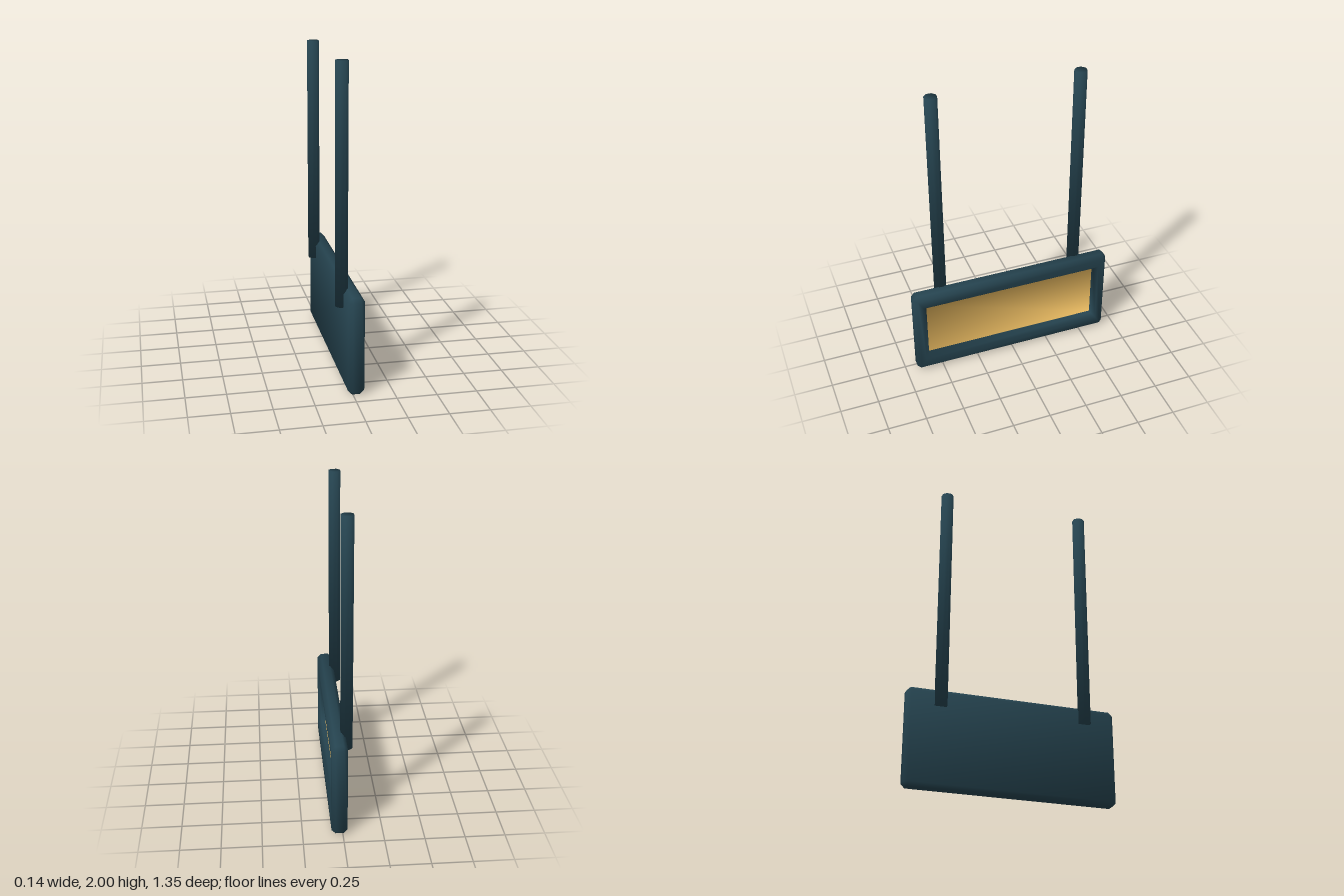
import * as THREE from 'three';

const frameBlue = new THREE.MeshStandardMaterial({ color: 0x25434f, name: 'dark teal' });
const panelGold = new THREE.MeshStandardMaterial({ color: 0xe0b35d, name: 'gold' });

// Rectangle with cut corners, counter-clockwise, at height w along the loft axis
function ring(hu, hv, cut, w) {
  return [
    [hu, -hv + cut], [hu, hv - cut], [hu - cut, hv], [-hu + cut, hv],
    [-hu, hv - cut], [-hu, -hv + cut], [-hu + cut, -hv], [hu - cut, -hv],
  ].map(([u, v]) => [u, v, w]);
}

// Angle-weighted normals shared by all corners at the same position
function smoothNormals(points) {
  const key = (p) => p.toArray().map((n) => Math.round(n * 1e4)).join();
  const sums = new Map();
  for (let i = 0; i < points.length; i += 3) {
    const tri = points.slice(i, i + 3);
    const normal = new THREE.Triangle(...tri).getNormal(new THREE.Vector3());
    tri.forEach((p, k) => {
      const a = tri[(k + 1) % 3].clone().sub(p);
      const b = tri[(k + 2) % 3].clone().sub(p);
      if (!sums.has(key(p))) sums.set(key(p), new THREE.Vector3());
      sums.get(key(p)).addScaledVector(normal, a.angleTo(b));
    });
  }
  return points.flatMap((p) => sums.get(key(p)).clone().normalize().toArray());
}

// Closed loft through rings; the end cap is a second material group
function loft(rings, place) {
  const points = [];
  const add = (...corners) => {
    const tri = corners.map((c) => place(...c));
    if (new THREE.Triangle(...tri).getArea() > 1e-8) points.push(...tri);
  };
  const first = rings[0];
  const last = rings[rings.length - 1];
  for (let i = 1; i < 7; i++) add(first[0], first[i + 1], first[i]);
  for (let r = 0; r < rings.length - 1; r++) {
    for (let i = 0; i < 8; i++) {
      const j = (i + 1) % 8;
      add(rings[r][i], rings[r][j], rings[r + 1][j]);
      add(rings[r][i], rings[r + 1][j], rings[r + 1][i]);
    }
  }
  const capStart = points.length;
  for (let i = 1; i < 7; i++) add(last[0], last[i], last[i + 1]);

  const geometry = new THREE.BufferGeometry();
  const positions = points.flatMap((p) => p.toArray());
  geometry.setAttribute('position', new THREE.Float32BufferAttribute(positions, 3));
  geometry.setAttribute('normal', new THREE.Float32BufferAttribute(smoothNormals(points), 3));
  geometry.addGroup(0, capStart, 0);
  geometry.addGroup(capStart, points.length - capStart, 1);
  return geometry;
}

export function createModel() {
  const model = new THREE.Group();
  model.name = 'hangingSign';

  // Bevelled board whose +x face sinks into a gold panel
  const boardRings = [
    ring(0.65, 0.285, 0, -0.03),
    ring(0.675, 0.31, 0.025, -0.005),
    ring(0.675, 0.31, 0.025, 0.045),
    ring(0.65, 0.285, 0, 0.07),
    ring(0.615, 0.225, 0, 0.07),
    ring(0.59, 0.2, 0, 0.045),
    ring(0.59, 0.2, 0, 0.02),
  ];
  const boardGeometry = loft(boardRings, (u, v, w) => new THREE.Vector3(w, v + 0.31, -u));
  const board = new THREE.Mesh(boardGeometry, [frameBlue, panelGold]);
  board.name = 'signBoard';
  model.add(board);

  // Two octagonal hanging posts behind the board
  const postRings = [ring(0.037, 0.037, 0.0217, 0.508), ring(0.037, 0.037, 0.0217, 2)];
  for (const [name, z] of [['frontPost', 0.468], ['backPost', -0.468]]) {
    const geometry = loft(postRings, (u, v, w) => new THREE.Vector3(v - 0.036, w, u + z));
    const post = new THREE.Mesh(geometry, [frameBlue, frameBlue]);
    post.name = name;
    model.add(post);
  }
  return model;
}
